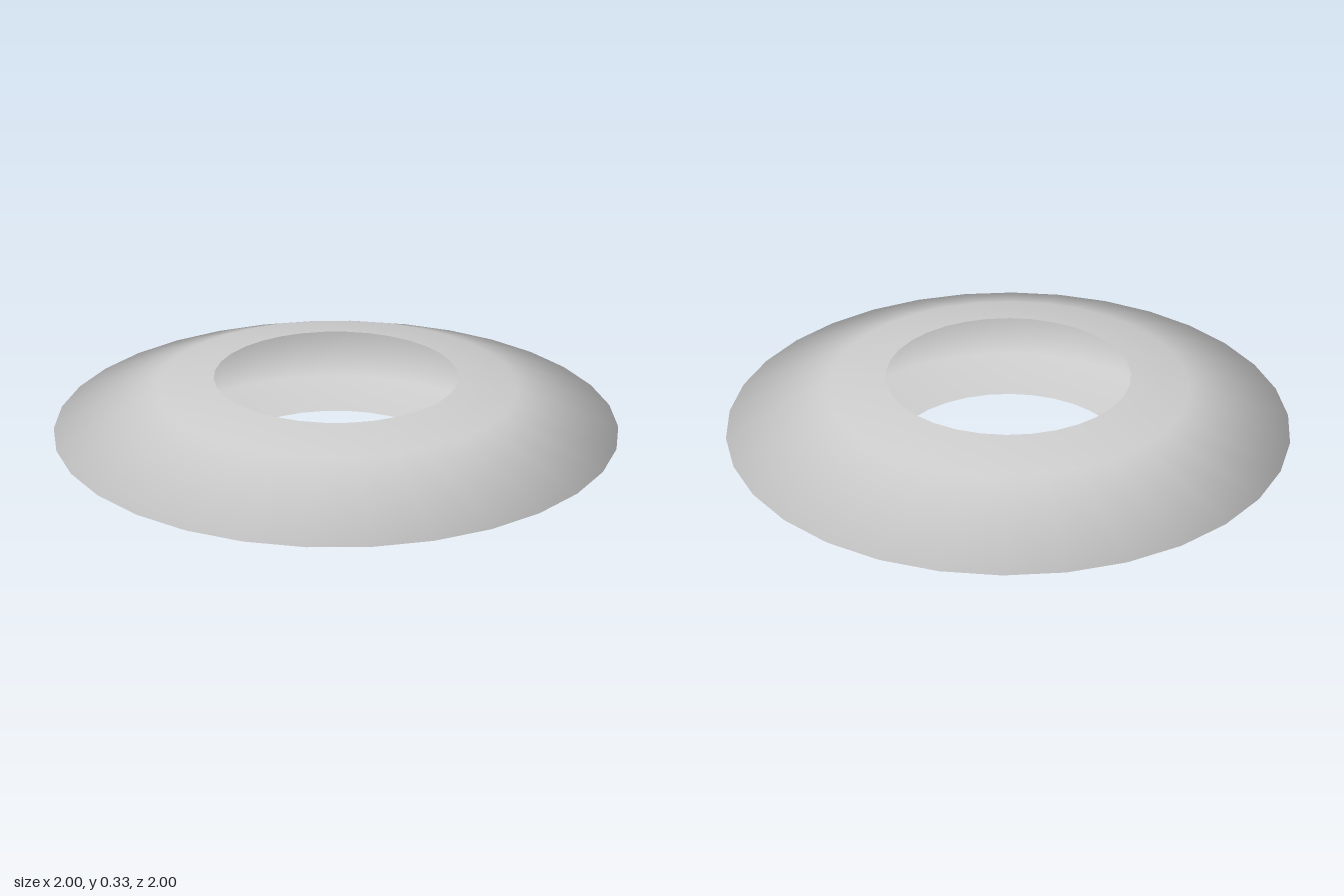
import * as THREE from 'three';

export function createModel() {
  const group = new THREE.Group();
  group.name = 'ring';

  // Hollow shell, open towards the centre hole: lower lip, sharp rim, upper lip
  const profile = [
    [0.433, 0],
    [0.695, 0.04],
    [1, 0.163],
    [0.64, 0.295],
    [0.433, 0.326],
  ].map(([r, y]) => new THREE.Vector2(r, y));

  const shell = new THREE.Mesh(
    new THREE.LatheGeometry(profile, 32),
    new THREE.MeshStandardMaterial({ color: 0xcccccc, side: THREE.DoubleSide })
  );
  shell.name = 'ringShell';
  group.add(shell);
  return group;
}
